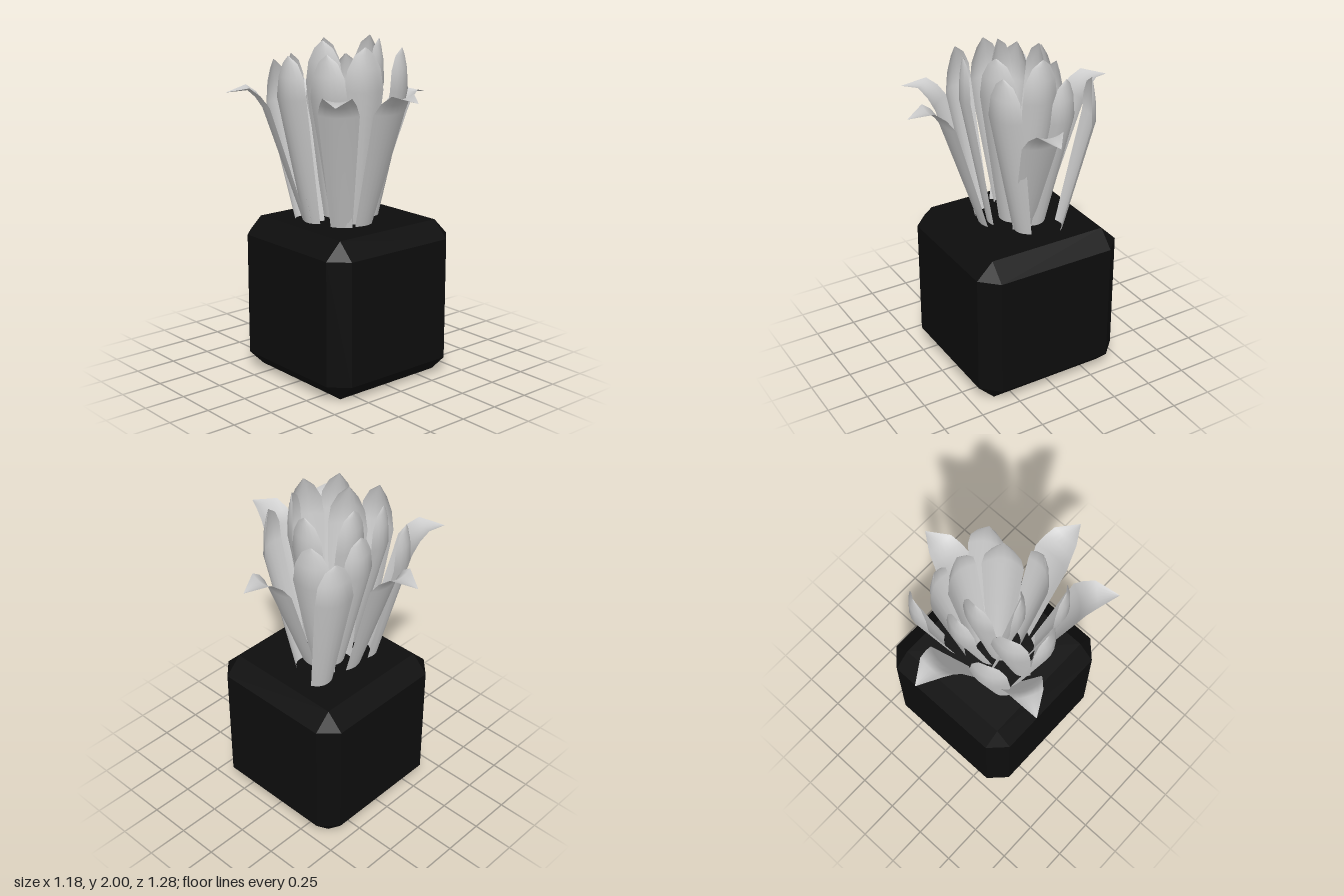
import * as THREE from 'three';
import { ConvexGeometry } from 'three/addons/geometries/ConvexGeometry.js';

const BASE_Y = 0.9;

// Spine rows: [distance outward from the tip, height from the tip, half width]; the base row is added below
const UPRIGHT = [
  [0.025, -0.25, 0.115],
  [0.02, -0.12, 0.098],
  [0.008, -0.04, 0.058],
  [0, 0, 0.004],
];
const BENT = [
  [-0.205, -0.09, 0.115],
  [-0.165, -0.03, 0.1],
  [-0.12, 0.012, 0.08],
  [0, 0, 0.002],
];

// Cupped leaf: curved cross-sections swept along a spine leaning along (nx, nz)
function leafGeometry(tipX, tipY, tipZ, nx, nz, rows, lean, baseHalf, cup) {
  const len = Math.hypot(nx, nz);
  nx /= len;
  nz /= len;
  const spine = [[-lean, BASE_Y - tipY, baseHalf], ...rows];
  const cols = 6;
  const pos = [], idx = [];
  spine.forEach(([s, h, w], i) => {
    const a = spine[Math.max(i - 1, 0)];
    const b = spine[Math.min(i + 1, spine.length - 1)];
    const l = Math.hypot(b[0] - a[0], b[1] - a[1]);
    const inS = -(b[1] - a[1]) / l, inY = (b[0] - a[0]) / l;
    for (let j = 0; j <= cols; j++) {
      const u = (j / cols) * 2 - 1;
      const sag = cup * w * u * u;
      const out = s + inS * sag;
      pos.push(tipX + nx * out + nz * w * u, tipY + h + inY * sag, tipZ + nz * out - nx * w * u);
    }
  });
  const n = cols + 1;
  for (let i = 0; i < spine.length - 1; i++) {
    for (let j = 0; j < cols; j++) {
      const k = i * n + j;
      idx.push(k, k + 1, k + n, k + 1, k + n + 1, k + n);
    }
  }
  const geo = new THREE.BufferGeometry();
  geo.setAttribute('position', new THREE.Float32BufferAttribute(pos, 3));
  geo.setIndex(idx);
  geo.computeVertexNormals();
  return geo;
}

// Box with every edge cut at 45 degrees
function chamferedBox(w, h, d, c) {
  const pts = [];
  for (const x of [-1, 1]) for (const y of [-1, 1]) for (const z of [-1, 1]) {
    for (let axis = 0; axis < 3; axis++) {
      const cut = [c, c, c];
      cut[axis] = 0;
      pts.push(new THREE.Vector3(x * (w / 2 - cut[0]), y * (h / 2 - cut[1]), z * (d / 2 - cut[2])));
    }
  }
  return new ConvexGeometry(pts);
}

export function createModel() {
  const model = new THREE.Group();
  model.name = 'pottedPlant';
  const potMat = new THREE.MeshStandardMaterial({ color: 0x0d0d0d });
  const leafMat = new THREE.MeshStandardMaterial({ color: 0xcccccc, side: THREE.DoubleSide });

  // Pot
  const pot = new THREE.Mesh(chamferedBox(0.925, 0.935, 0.93, 0.1), potMat);
  pot.name = 'pot';
  pot.position.set(0.022, 0.4675, -0.005);
  model.add(pot);

  // Leaves, each [tip x, tip y, tip z, facing x, facing z]
  const rings = [
    { name: 'innerLeaf', rows: UPRIGHT, lean: 0.13, baseHalf: 0.065, cup: 0.45, leaves: [
      [-0.01, 1.98, -0.18, 0, -1],
      [0.235, 1.99, -0.05, 1, -0.05],
      [0.11, 2, 0.17, 0.54, 0.84],
      [-0.08, 1.97, 0.27, -0.37, 0.93],
      [-0.165, 1.99, 0, -0.89, 0.46],
    ] },
    { name: 'middleLeaf', rows: UPRIGHT, lean: 0.16, baseHalf: 0.065, cup: 0.42, leaves: [
      [-0.25, 1.91, -0.18, -0.33, -0.94],
      [0.03, 1.87, -0.27, 0.03, -1],
      [-0.385, 1.92, -0.03, -0.99, 0.13],
      [-0.3, 1.94, 0.2, -0.92, 0.38],
      [-0.25, 1.86, -0.345, -0.36, -0.93],
      [0.29, 1.85, -0.335, 0.34, -0.94],
      [0.3, 1.88, -0.16, 0.93, -0.37],
      [0.25, 1.94, 0.21, 0.39, 0.92],
    ] },
    { name: 'outerLeaf', rows: BENT, lean: 0.445, baseHalf: 0.06, cup: 0.25, leaves: [
      [-0.01, 1.7, -0.64, 0, -1],
      [0.588, 1.635, 0.056, 0.98, 0.08],
      [-0.03, 1.7, 0.64, -0.02, 1],
      [-0.46, 1.7, 0.465, -0.7, 0.72],
      [-0.59, 1.7, -0.342, -0.88, -0.48],
    ] },
  ];
  for (const { name, rows, lean, baseHalf, cup, leaves } of rings) {
    const ring = new THREE.Group();
    ring.name = name + 'Ring';
    leaves.forEach(([x, y, z, nx, nz], i) => {
      const leaf = new THREE.Mesh(leafGeometry(x, y, z, nx, nz, rows, lean, baseHalf, cup), leafMat);
      leaf.name = name + (i + 1);
      ring.add(leaf);
    });
    model.add(ring);
  }
  return model;
}
